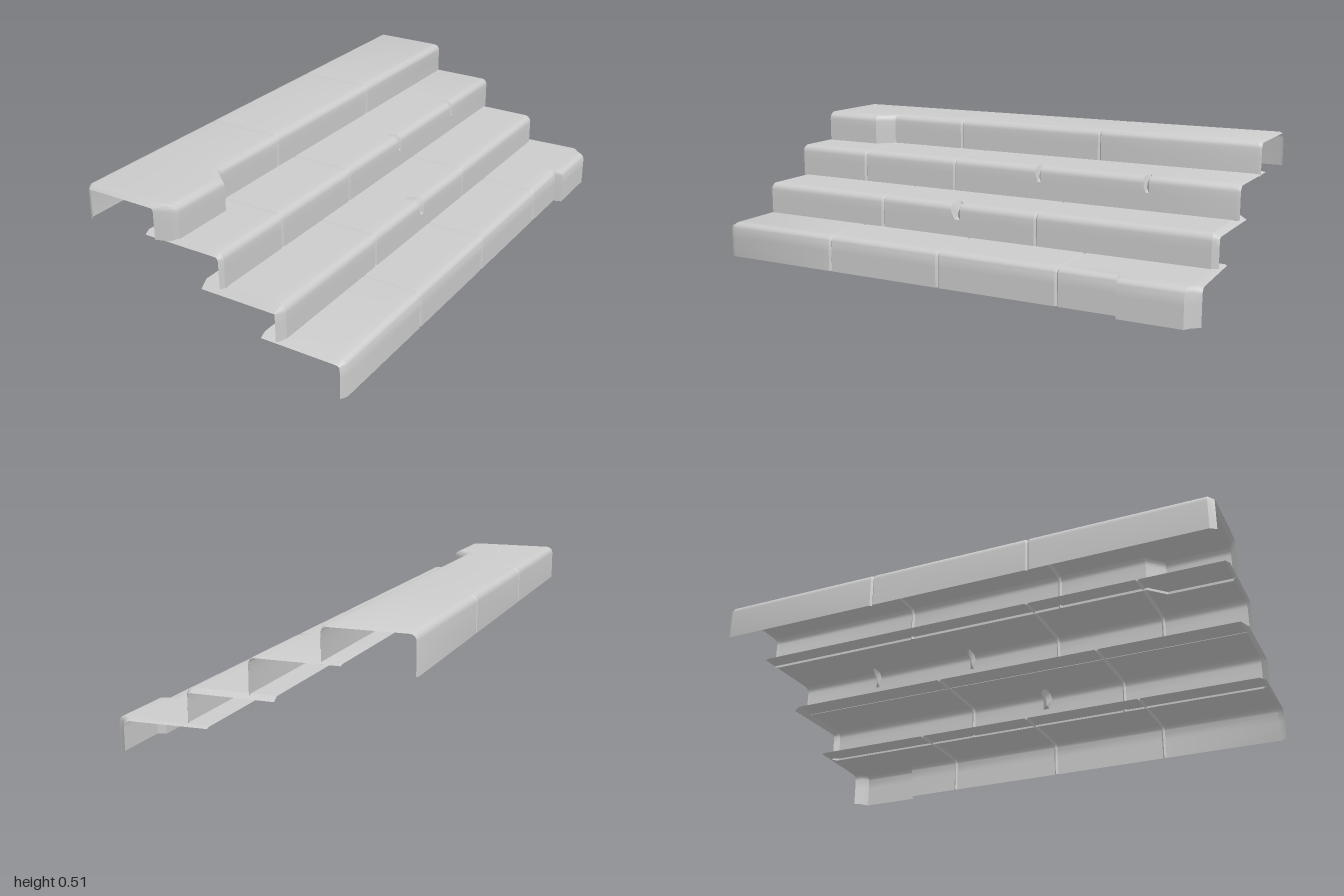
import * as THREE from 'three';
import { toCreasedNormals } from 'three/addons/utils/BufferGeometryUtils.js';

const material = new THREE.MeshStandardMaterial({ color: 0xcccccc, side: THREE.DoubleSide });
const RADIUS = 0.027, ARC = 5;

// Cross-section from the back of the tread, over the nose, to the foot of the riser
function stepProfile({ back, front, top, bottom, backWall }) {
  const pts = [];
  const arc = (cx, cy, from, to) => {
    for (let i = 0; i <= ARC; i++) {
      const a = from + (to - from) * i / ARC;
      pts.push({ x: cx + RADIUS * Math.cos(a), y: cy + RADIUS * Math.sin(a) });
    }
  };
  if (backWall) {
    pts.push({ x: back, y: backWall });
    arc(back + RADIUS, top - RADIUS, Math.PI, Math.PI / 2);
  } else pts.push({ x: back, y: top });
  pts.push({ x: front - 0.065, y: top });
  const noseStart = pts.length;
  arc(front - RADIUS, top - RADIUS, Math.PI / 2, 0);
  const noseEnd = pts.length;
  pts.push({ x: front, y: top - 0.06 }, { x: front, y: bottom });
  pts.forEach((p, i) => {
    const a = pts[Math.max(i - 1, 0)], b = pts[Math.min(i + 1, pts.length - 1)];
    const l = Math.hypot(b.x - a.x, b.y - a.y);
    p.nx = -(b.y - a.y) / l;
    p.ny = (b.x - a.x) / l;
    p.nose = i >= noseStart && i < noseEnd;
    p.moves = i >= noseStart - 1; // follows a bulging riser
  });
  return pts;
}

// Loft the section along z; stations may inset, bulge or chip it
function buildStep(spec) {
  const profile = stepProfile(spec);
  const stations = spec.stations.map(([z, inset = 0, bulge = 0]) => ({ z, inset, bulge, chip: 0 }));
  for (const z of spec.joints)
    stations.push({ z: z - 0.007, inset: 0 }, { z, inset: 0.008 }, { z: z + 0.007, inset: 0 });
  for (const [z, half, chip] of spec.chips || [])
    stations.push({ z: z - half, inset: 0 }, { z, inset: 0, chip }, { z: z + half * 0.6, inset: 0 });
  stations.sort((a, b) => a.z - b.z);

  const pos = [], index = [], n = profile.length;
  stations.forEach(({ z, inset, bulge = 0, chip = 0 }, s) => {
    profile.forEach((p, i) => {
      const cut = p.nose ? chip : 0;
      // the rear edge may run slightly askew
      const skew = s === 0 && spec.skew ? spec.skew * (spec.front - p.x) / (spec.front - spec.back) : 0;
      pos.push(p.x - p.nx * inset + (p.moves ? bulge : 0) - cut, p.y - p.ny * inset - cut, z + skew);
      if (s && i) {
        const d = s * n + i, c = d - 1, b = d - n, a = b - 1;
        index.push(a, c, b, b, c, d);
      }
    });
  });
  const geometry = new THREE.BufferGeometry();
  geometry.setAttribute('position', new THREE.Float32BufferAttribute(pos, 3));
  geometry.setIndex(index);
  const mesh = new THREE.Mesh(toCreasedNormals(geometry, 0.5), material);
  mesh.name = spec.name;
  return mesh;
}

export function createModel() {
  const group = new THREE.Group();
  group.name = 'stoneSteps';
  // stations: [z, inset, bulge]; chips: [z, half width, depth]
  const steps = [
    {
      name: 'topStep', back: -0.54, front: -0.218, top: 0.512, bottom: 0.38, backWall: 0.375,
      joints: [-0.325, 0.31],
      stations: [[-0.978, 0.006], [-0.965], [0.65], [0.71, 0, 0.063], [0.955, 0, 0.063], [0.968, 0, 0.042], [0.99, 0.016]],
    },
    {
      name: 'thirdStep', back: -0.29, front: 0.032, top: 0.39, bottom: 0.26,
      joints: [0.2, 0.635], chips: [[-0.62, 0.014, 0.018], [-0.175, 0.014, 0.018]],
      stations: [[-0.978, 0.004], [-0.965], [0.96], [0.975, 0.013]],
    },
    {
      name: 'secondStep', back: -0.06, front: 0.267, top: 0.262, bottom: 0.13,
      joints: [-0.285, 0.39], chips: [[0.06, 0.024, 0.025]],
      stations: [[-0.978, 0.014], [-0.955], [0.947], [0.975, 0.026]],
    },
    {
      name: 'bottomStep', back: 0.18, front: 0.502, top: 0.138, bottom: 0,
      joints: [-0.485, -0.005, 0.475], skew: 0.015,
      stations: [[-1, 0.004, -0.01], [-0.975, 0, 0.003], [-0.955, 0, 0.032], [-0.72, 0, 0.032], [-0.71], [0.95], [0.975, 0.013]],
    },
  ];
  steps.forEach((s) => group.add(buildStep(s)));
  return group;
}
